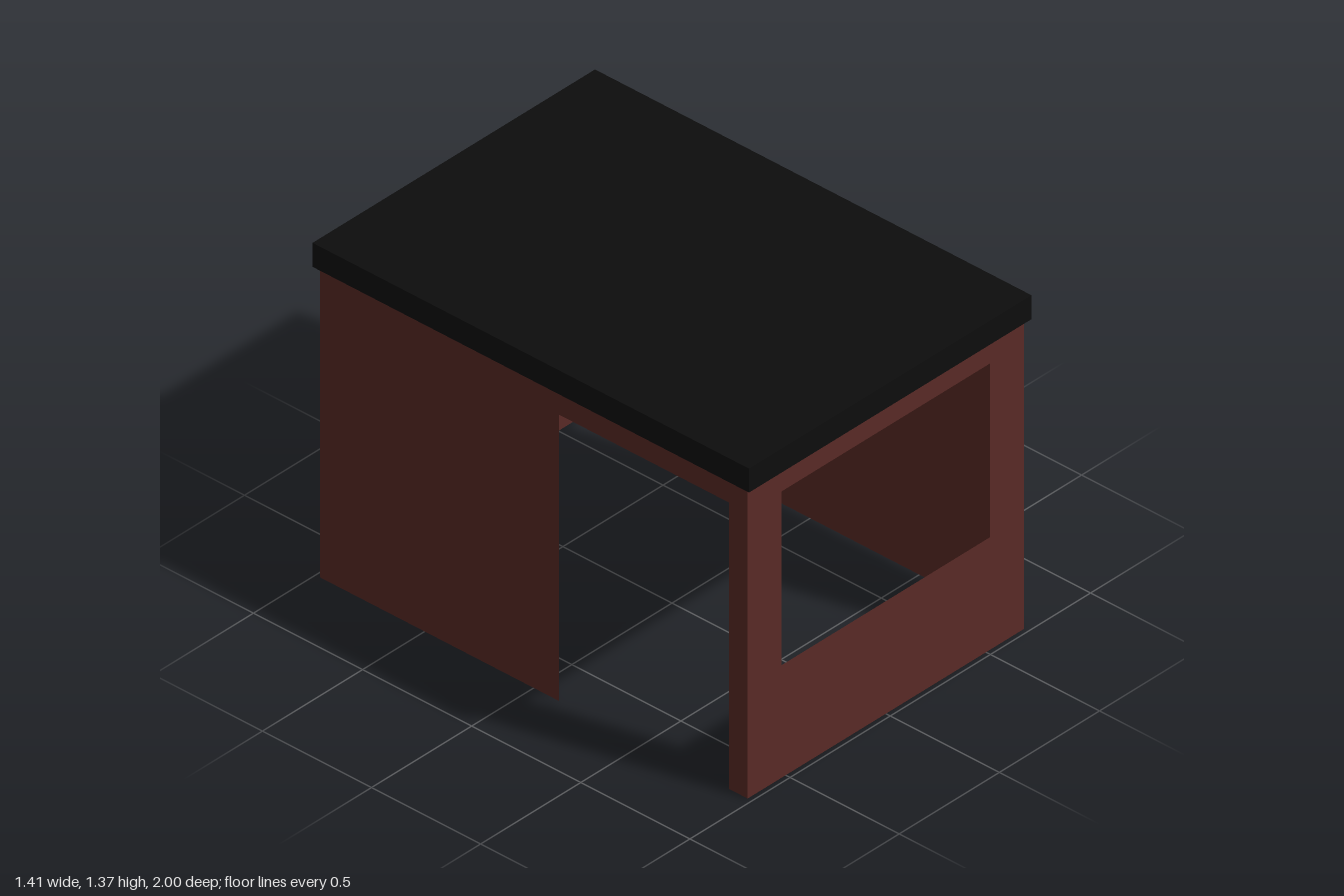
import * as THREE from 'three';

const W = 0.69, D = 0.98;            // half width and half depth of the walls
const CEILING = 1.326;               // walls run up inside the roof cap
const ROOF_W = 0.705, ROOF_D = 1, ROOF_BOTTOM = 1.267, ROOF_TOP = 1.365;
const OPENING_TOP = 1.17;

const wallMaterial = new THREE.MeshStandardMaterial({ color: 0x5a2a26, side: THREE.DoubleSide });
const roofMaterial = new THREE.MeshStandardMaterial({ color: 0x0d0d0d, side: THREE.DoubleSide });

const polygon = (points) => points.map(([x, y]) => new THREE.Vector2(x, y));
const rectangle = (x0, y0, x1, y1) => polygon([[x0, y0], [x1, y0], [x1, y1], [x0, y1]]);

function addPart(group, name, geometry, material) {
  const mesh = new THREE.Mesh(geometry, material);
  mesh.name = name;
  group.add(mesh);
  return mesh;
}

// Thin side wall with a doorway that reaches the ground
function doorWall(start, end) {
  return new THREE.ShapeGeometry(new THREE.Shape(polygon([
    [-D, 0], [start, 0], [start, OPENING_TOP], [end, OPENING_TOP], [end, 0],
    [D, 0], [D, CEILING], [-D, CEILING],
  ])));
}

export function createModel() {
  const model = new THREE.Group();
  model.name = 'booth';

  // Front wall with its wide window opening
  const frontShape = new THREE.Shape(rectangle(-W, 0, W, CEILING));
  frontShape.holes.push(new THREE.Path(rectangle(-0.52, 0.46, 0.52, OPENING_TOP)));
  addPart(model, 'frontWall', new THREE.ShapeGeometry(frontShape), wallMaterial).position.z = D;

  // Solid back wall
  const back = addPart(model, 'backWall', new THREE.PlaneGeometry(2 * W, CEILING), wallMaterial);
  back.position.set(0, CEILING / 2, -D);
  back.rotation.y = Math.PI;

  // Side walls: narrow door near the back at +x, wider door near the front at -x
  for (const [name, side, start, end] of [
    ['narrowDoorWall', 1, 0.4, 0.895],
    ['wideDoorWall', -1, 0.115, 0.895],
  ]) {
    const wall = addPart(model, name, doorWall(start, end), wallMaterial);
    wall.position.x = side * W;
    wall.rotation.y = side * Math.PI / 2;
  }

  // Ceiling between the walls
  const ceiling = addPart(model, 'ceiling', new THREE.PlaneGeometry(2 * W, 2 * D), wallMaterial);
  ceiling.position.y = CEILING;
  ceiling.rotation.x = Math.PI / 2;

  // Roof cap: a box without its underside (third face pair, second face)
  const roof = new THREE.BoxGeometry(2 * ROOF_W, ROOF_TOP - ROOF_BOTTOM, 2 * ROOF_D);
  const index = Array.from(roof.index.array);
  index.splice(18, 6);
  roof.setIndex(index);
  roof.clearGroups();
  addPart(model, 'roof', roof, roofMaterial).position.y = (ROOF_TOP + ROOF_BOTTOM) / 2;

  // Narrow eave closing the cap around the walls
  const eaveShape = new THREE.Shape(rectangle(-ROOF_W, -ROOF_D, ROOF_W, ROOF_D));
  eaveShape.holes.push(new THREE.Path(rectangle(-W, -D, W, D)));
  const eave = addPart(model, 'eave', new THREE.ShapeGeometry(eaveShape), roofMaterial);
  eave.position.y = ROOF_BOTTOM;
  eave.rotation.x = Math.PI / 2;

  return model;
}
